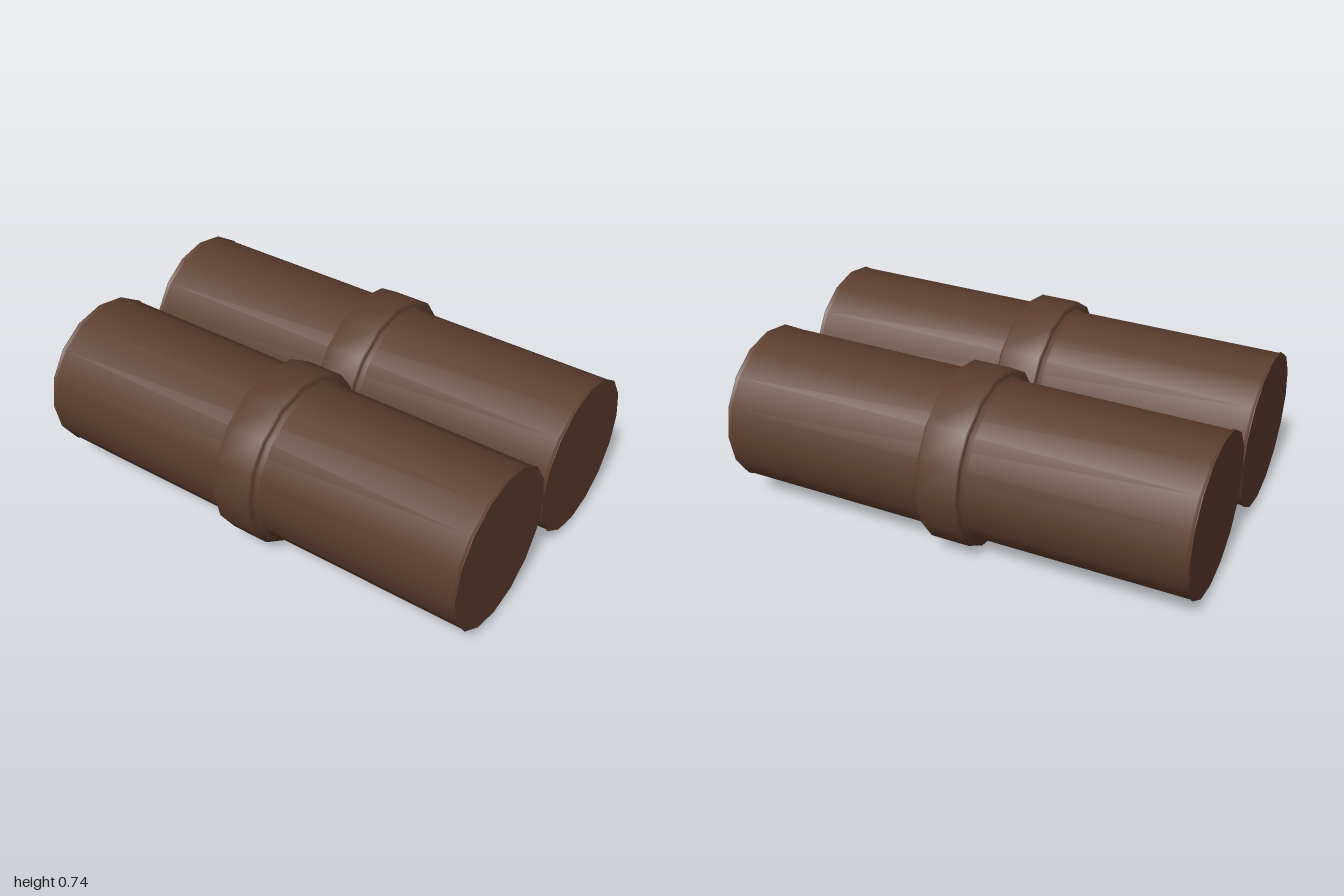
import * as THREE from 'three';

const SIDES = 16, RADIUS = 0.333, CENTER_Y = 0.372, RING_Z = 0.006;

// Revolve a [radius, z] profile about the z axis
function revolve(profile) {
  const points = profile.map(([r, z]) => new THREE.Vector2(r, z));
  return new THREE.LatheGeometry(points, SIDES).rotateX(Math.PI / 2);
}

export function createModel() {
  const model = new THREE.Group();
  model.name = 'twinLogs';
  const brown = new THREE.MeshStandardMaterial({ color: 0x5c3d2e });
  brown.name = 'darkBrown';

  // Long barrel, swelling very slightly at its two ends
  const barrelGeometry = revolve([
    [0.335, -1], [0.335, -0.995], [0.331, -0.99], [0.331, -0.98],
    [0.331, 0.98], [0.331, 0.99], [0.335, 0.995], [0.335, 1],
  ]);
  const capGeometry = new THREE.CircleGeometry(0.335, SIDES);

  // Raised joint ring with a small fillet down to the barrel on each side
  const half = [[0.372, 0.083], [0.346, 0.084], [0.339, 0.092], [0.33, 0.108]];
  const ringGeometry = revolve([
    ...half.map(([r, z]) => [r, -z]).reverse(),
    ...half,
  ]);

  for (const [side, name] of [[1, 'left'], [-1, 'right']]) {
    const log = new THREE.Group();
    log.name = name + 'Log';
    log.position.set(side * RADIUS, CENTER_Y, 0);

    const barrel = new THREE.Mesh(barrelGeometry, brown);
    barrel.name = 'barrel';
    const ring = new THREE.Mesh(ringGeometry, brown);
    ring.name = 'jointRing';
    ring.position.z = RING_Z;

    // Flat end faces
    const frontCap = new THREE.Mesh(capGeometry, brown);
    frontCap.name = 'frontCap';
    frontCap.position.z = 1;
    const backCap = new THREE.Mesh(capGeometry, brown);
    backCap.name = 'backCap';
    backCap.position.z = -1;
    backCap.rotation.y = Math.PI;

    log.add(barrel, ring, frontCap, backCap);
    model.add(log);
  }
  return model;
}
